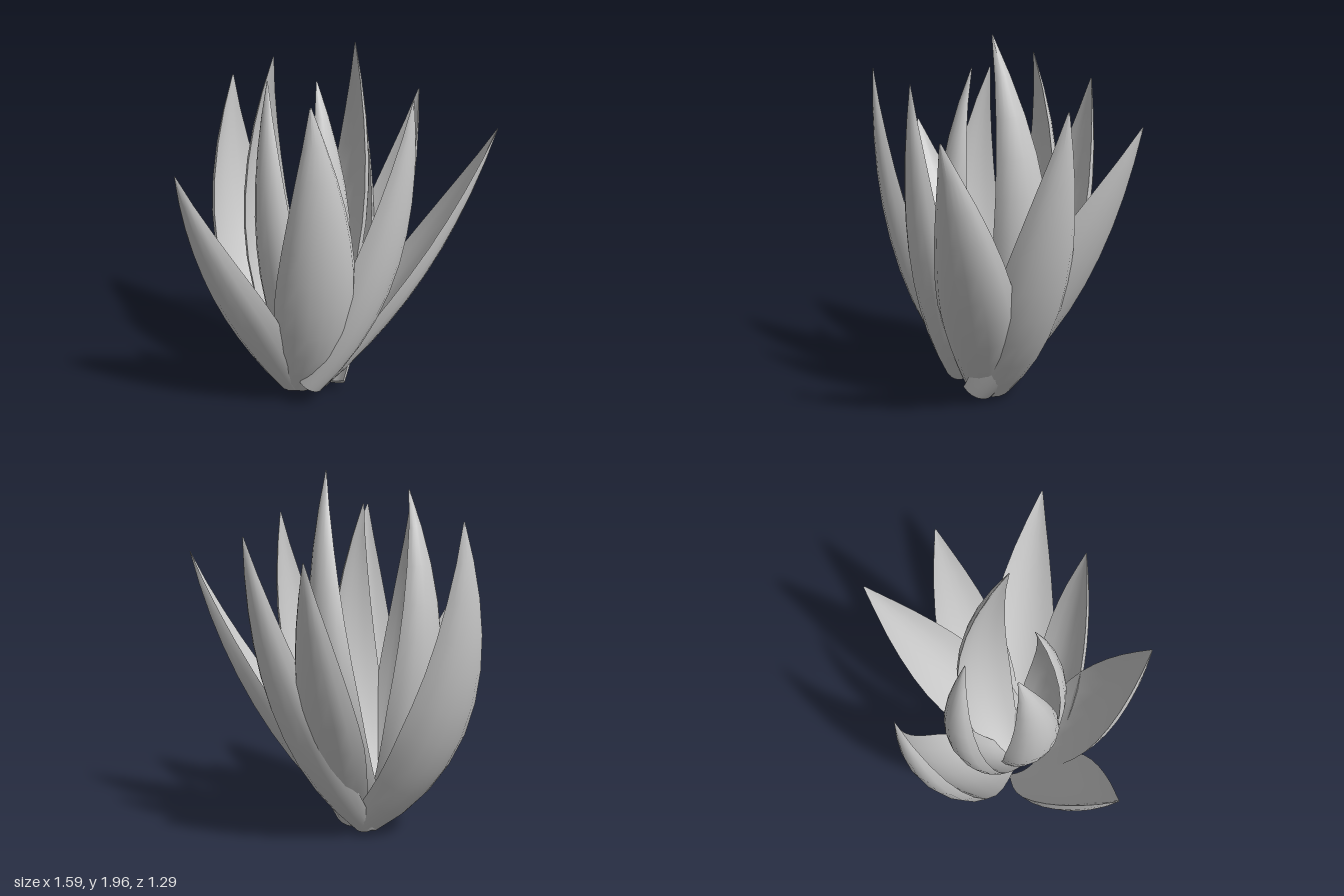
import * as THREE from 'three';
import { toCreasedNormals } from 'three/addons/utils/BufferGeometryUtils.js';

const ROWS = 10, OUTER = 8, INNER = 6;

// Share of the full width along the leaf: swelling from the base, then tapering to a point
function widthShare(t) {
  if (t < 0.4) return 0.55 + 0.45 * Math.sin(t / 0.4 * Math.PI / 2);
  return Math.max(0.02, 1 - Math.pow((t - 0.4) / 0.6, 1.6));
}

// Gutter-shaped section as (across, inward depth): outer arc, then a shallower inner arc back
function leafSection() {
  const ring = [];
  for (let i = 0; i <= OUTER; i++) {
    const s = -1 + 2 * i / OUTER;
    ring.push(new THREE.Vector2(Math.sin(s * 1.33) / Math.sin(1.33) / 2, 0.34 * Math.pow(Math.abs(s), 1.9)));
  }
  for (let i = 1; i < INNER; i++) {
    const s = 1 - 2 * i / INNER;
    ring.push(new THREE.Vector2(s / 2, 0.19 + 0.15 * s * s));
  }
  return ring;
}

// Sweep the section along a bowed spine from base through belly to tip;
// angle is where the back of the leaf faces, in degrees from the front towards +x
function leafGeometry(width, angle, base, belly, tip) {
  const control = belly.clone().multiplyScalar(2).addScaledVector(base, -0.5).addScaledVector(tip, -0.5);
  const spine = new THREE.QuadraticBezierCurve3(base, control, tip);
  const facing = new THREE.Vector3(0, 0, 1).applyAxisAngle(new THREE.Vector3(0, 1, 0), THREE.MathUtils.degToRad(angle));
  const ring = leafSection(), n = ring.length, top = ROWS * n;
  const pos = [], index = [];
  for (let r = 0; r <= ROWS; r++) {
    const t = r / ROWS, w = width * widthShare(t);
    const p = spine.getPointAt(t), along = spine.getTangentAt(t);
    const side = new THREE.Vector3().crossVectors(along, facing).normalize();
    const outward = new THREE.Vector3().crossVectors(side, along);
    for (const s of ring) {
      const v = p.clone().addScaledVector(side, s.x * w).addScaledVector(outward, -s.y * w);
      pos.push(v.x, Math.max(0, v.y), v.z);
    }
  }
  for (let r = 0; r < ROWS; r++) {
    for (let j = 0; j < n; j++) {
      const a = r * n + j, b = r * n + (j + 1) % n;
      index.push(a, b, b + n, a, b + n, a + n);
    }
  }
  // close the cut base and the tip
  for (let j = 0; j < n / 2 - 1; j++) {
    const k = n - 1 - j;
    index.push(j, k, j + 1, j + 1, k, k - 1);
    index.push(top + j, top + j + 1, top + k, top + j + 1, top + k - 1, top + k);
  }
  const geo = new THREE.BufferGeometry();
  geo.setAttribute('position', new THREE.Float32BufferAttribute(pos, 3));
  geo.setIndex(index);
  return toCreasedNormals(geo, 0.9);
}

export function createModel() {
  const model = new THREE.Group();
  model.name = 'succulentPlant';
  const material = new THREE.MeshStandardMaterial({ color: 0xcccccc });
  const at = (x, y, z) => new THREE.Vector3(x, y, z);

  function addLeaf(name, width, angle, base, belly, tip) {
    const leaf = new THREE.Mesh(leafGeometry(width, angle, base, belly, tip), material);
    leaf.name = name;
    model.add(leaf);
  }
  // inner leaves all start near the middle
  function addInnerLeaf(name, angle, belly, tip) {
    const a = THREE.MathUtils.degToRad(angle);
    addLeaf(name, 0.34, angle, at(0.05 * Math.sin(a), 0.08, 0.05 * Math.cos(a)), belly, tip);
  }

  // upright inner leaves
  addInnerLeaf('innerRightLeaf', 90, at(0.4, 0.95, -0.02), at(0.24, 2, 0.12));
  addInnerLeaf('innerBackLeaf', 184, at(-0.04, 0.95, -0.39), at(-0.01, 1.9, -0.25));
  addInnerLeaf('innerLeftLeaf', 270, at(-0.28, 0.93, 0.03), at(-0.17, 1.82, -0.07));
  addInnerLeaf('innerFrontLeaf', 0, at(0, 0.92, 0.31), at(0, 1.83, 0.12));

  // spreading outer leaves
  addLeaf('frontLeftLeaf', 0.43, -19, at(-0.09, 0.1, 0.14), at(-0.22, 0.85, 0.49), at(-0.34, 1.82, 0.53));
  addLeaf('frontLeaf', 0.34, 7, at(-0.08, 0.14, 0.24), at(0.16, 0.87, 0.52), at(0.25, 1.78, 0.555));
  addLeaf('leftLeaf', 0.43, -85, at(-0.16, 0.09, 0.04), at(-0.58, 0.77, 0.07), at(-0.8, 1.48, 0.1));
  addLeaf('rightLeaf', 0.41, 90, at(0.12, 0.04, 0.02), at(0.6, 0.73, 0.02), at(0.79, 1.68, 0.02));
  addLeaf('rightFrontLeaf', 0.4, 55, at(0.08, 0.07, 0.12), at(0.54, 0.75, 0.39), at(0.77, 1.58, 0.63));
  addLeaf('rightBackLeaf', 0.41, 104, at(0.15, 0.06, 0.13), at(0.54, 0.75, -0.17), at(0.74, 1.58, -0.42));
  addLeaf('backLeaf', 0.47, 187, at(0.09, 0.06, -0.06), at(-0.09, 0.75, -0.56), at(-0.03, 1.75, -0.63));
  return model;
}
